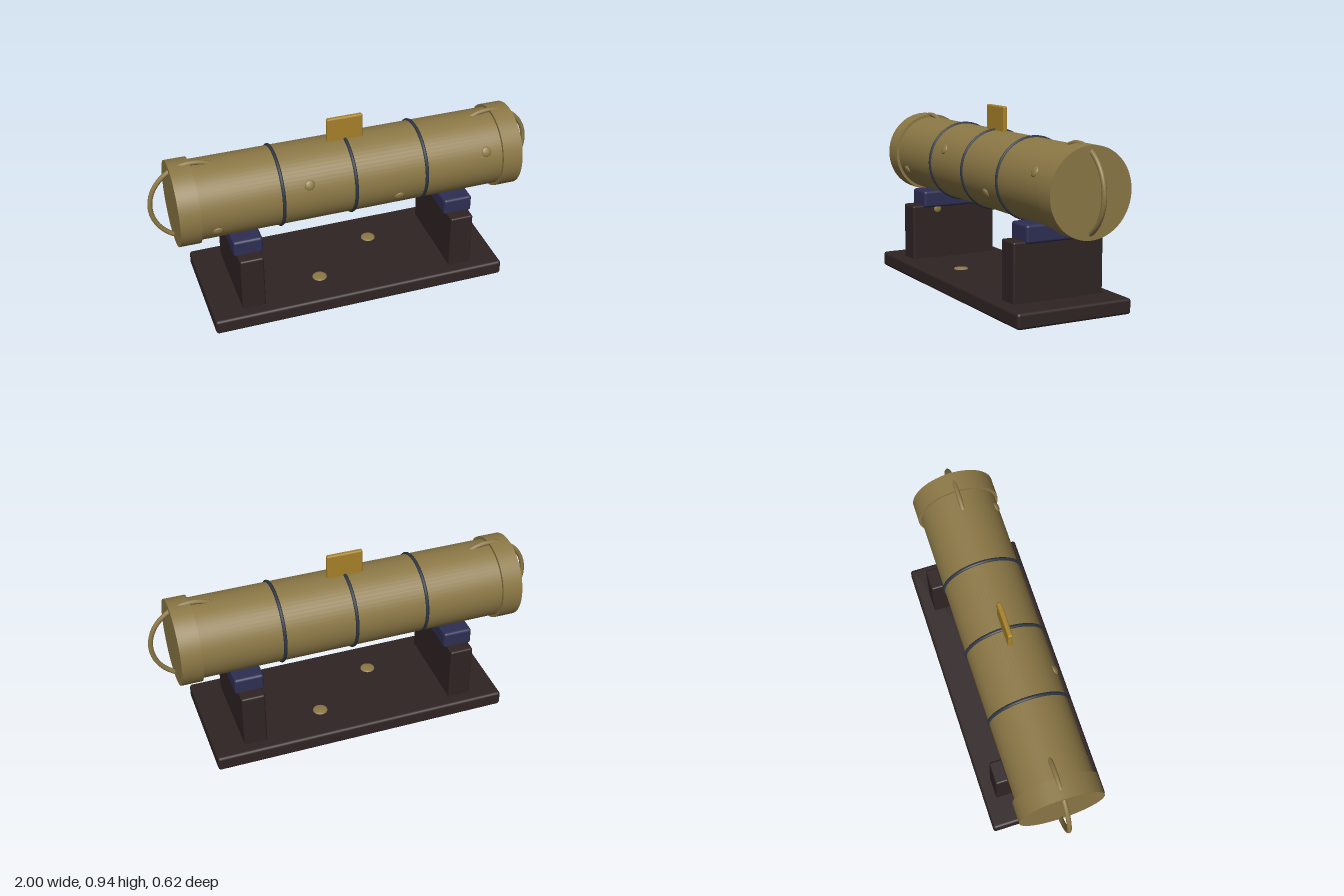
import * as THREE from 'three';
import { RoundedBoxGeometry } from 'three/addons/geometries/RoundedBoxGeometry.js';

export function createModel() {
  const model = new THREE.Group();
  model.name = 'scrollCaseOnStand';

  const material = (name, color) => {
    const m = new THREE.MeshStandardMaterial({ color });
    m.name = name;
    return m;
  };
  const brass = material('agedBrass', 0x8c7846);
  const gold = material('gold', 0xa8822a);
  const wood = material('darkWood', 0x302424);
  const velvet = material('blueVelvet', 0x2e2e54);
  const iron = material('blueIron', 0x2e3640);

  const add = (name, geometry, mat, x = 0, y = 0, z = 0) => {
    const mesh = new THREE.Mesh(geometry, mat);
    mesh.name = name;
    mesh.position.set(x, y, z);
    model.add(mesh);
    return mesh;
  };
  const box = (w, h, d, r) => new RoundedBoxGeometry(w, h, d, 3, r);
  const tubeAlongX = (r, length) => new THREE.CylinderGeometry(r, r, length, 64).rotateZ(Math.PI / 2);
  const axisY = 0.62;

  // Stand
  add('base', box(1.54, 0.078, 0.616, 0.015), wood, 0, 0.039, 0);
  for (const s of [-1, 1]) {
    add('support', box(0.12, 0.31, 0.49, 0.01), wood, s * 0.556, 0.215, 0);
    add('saddle', box(0.15, 0.09, 0.368, 0.014), velvet, s * 0.556, 0.403, 0);
  }

  // Tube with end caps and ring handles
  add('barrel', tubeAlongX(0.2, 1.6), brass, 0, axisY, 0);
  for (const s of [-1, 1]) {
    add('endCap', tubeAlongX(0.215, 0.105), brass, s * 0.8325, axisY, 0);
    add('ringHandle', new THREE.TorusGeometry(0.213, 0.012, 12, 64), brass, s * 0.775, axisY, 0);
  }

  // Bands around the tube
  for (const x of [-0.37, 0, 0.37]) {
    add('band', new THREE.TorusGeometry(0.2, 0.009, 10, 64).rotateY(Math.PI / 2), iron, x, axisY, 0);
  }

  // Tag standing on top
  add('topTag', box(0.185, 0.15, 0.024, 0.008), gold, 0, 0.87, 0);

  // Studs on the front of the tube
  for (const [x, dy] of [[-0.7, -0.08], [-0.235, 0.085], [0.23, -0.08], [0.695, 0.085]]) {
    const stud = add('tubeStud', new THREE.SphereGeometry(0.026, 20, 14), brass,
      x, axisY + dy, Math.sqrt(0.04 - dy * dy));
    stud.scale.z = 0.4;
    stud.rotation.x = -Math.asin(dy / 0.2);
  }

  // Flat studs on the base and on the inner faces of the supports
  for (const s of [-1, 1]) {
    const stud = add('baseStud', new THREE.SphereGeometry(0.038, 20, 12), brass, s * 0.175, 0.078, -s * 0.12);
    stud.scale.y = 0.22;
    const bolt = add('supportBolt', new THREE.SphereGeometry(0.022, 16, 12), brass, s * 0.497, 0.347, -s * 0.1);
    bolt.scale.x = 0.4;
  }

  return model;
}
